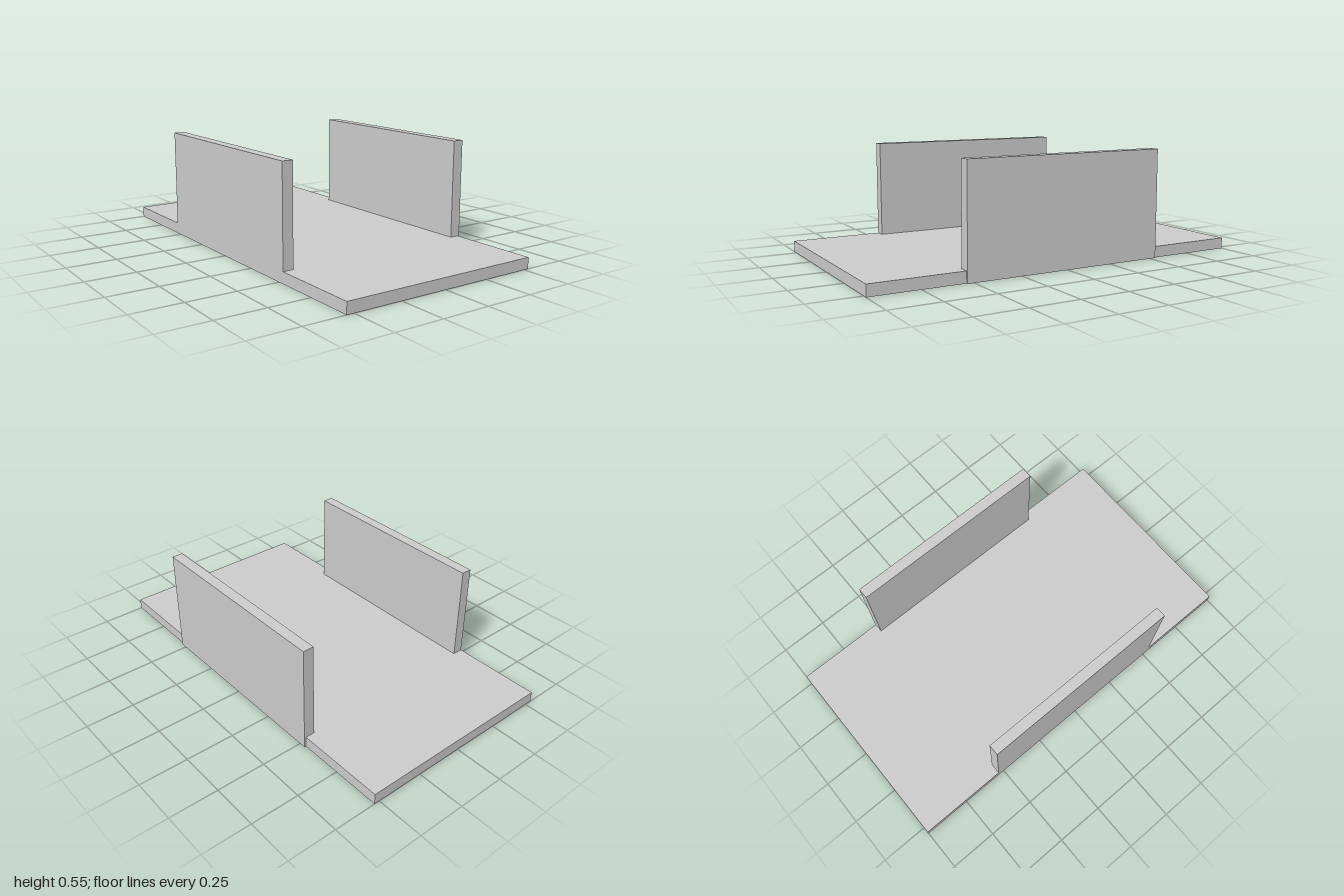
import * as THREE from 'three';

const material = new THREE.MeshStandardMaterial({ color: 0xcccccc, flatShading: true });

// Box given by its extents along each axis
function slab(name, [x0, x1], [y0, y1], [z0, z1]) {
  const mesh = new THREE.Mesh(new THREE.BoxGeometry(x1 - x0, y1 - y0, z1 - z0), material);
  mesh.position.set((x0 + x1) / 2, (y0 + y1) / 2, (z0 + z1) / 2);
  mesh.name = name;
  return mesh;
}

export function createModel() {
  const group = new THREE.Group();
  group.name = 'walledTray';

  const wallHeight = [0, 0.553];
  const wallLength = [-0.533, 0.533];

  // Long floor plate, flush with the right wall and just short of the left wall's face
  group.add(slab('floorPlate', [-0.537, 0.528], [0, 0.057], [-1, 1]));

  // Upright side walls, reaching down to the ground
  group.add(slab('rightWall', [-0.537, -0.482], wallHeight, wallLength));
  group.add(slab('leftWall', [0.48, 0.537], wallHeight, wallLength));

  return group;
}
